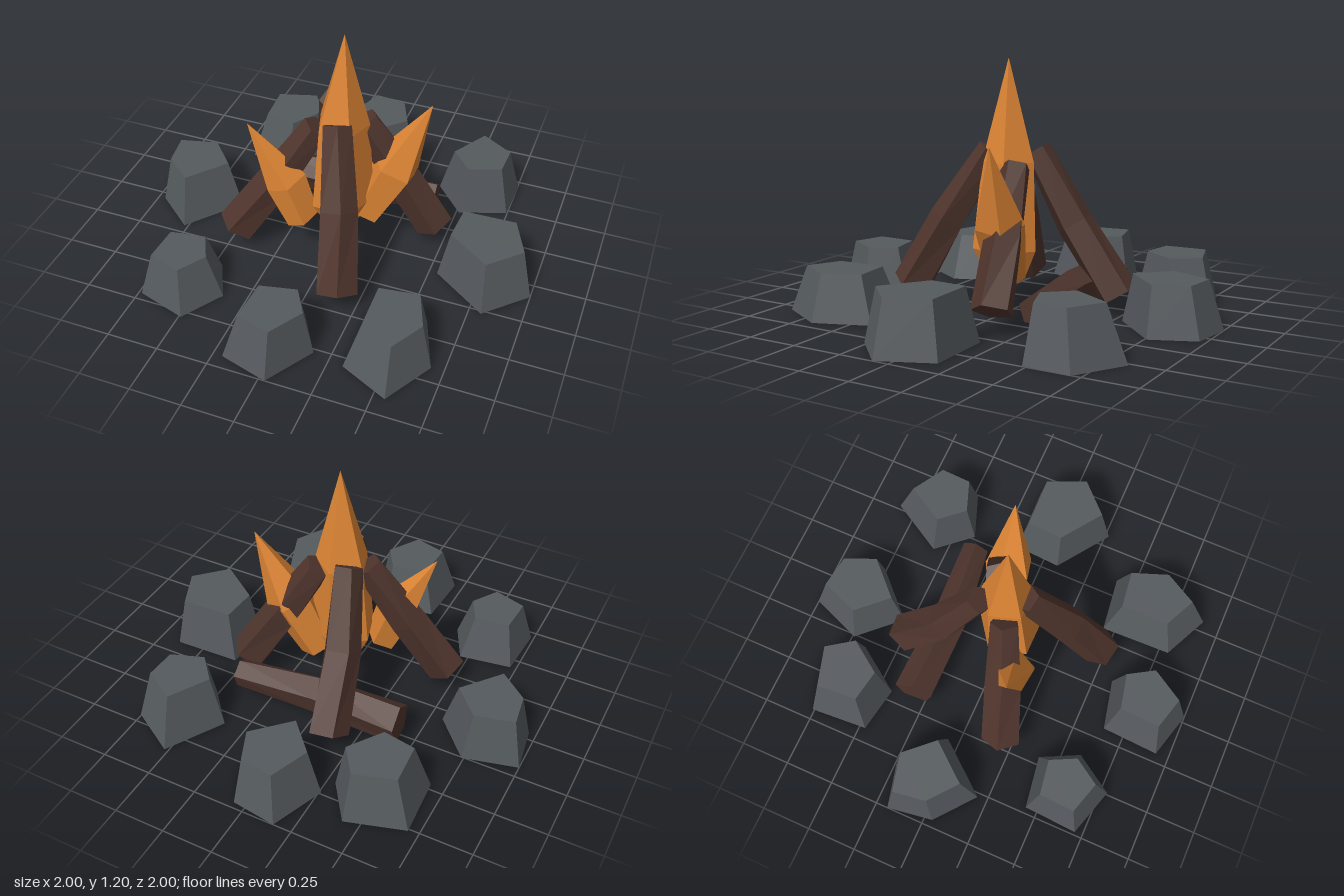
import * as THREE from 'three';

const V = (x, y, z) => new THREE.Vector3(x, y, z);

// Closed faceted solid through rings of points, counter-clockwise about the path
function loft(rings) {
  const pos = [];
  const tri = (...pts) => pts.forEach((p) => pos.push(p.x, p.y, p.z));
  const n = rings[0].length;
  for (let i = 0; i < rings.length - 1; i++) {
    for (let j = 0; j < n; j++) {
      const k = (j + 1) % n;
      const a = rings[i][j], b = rings[i][k], c = rings[i + 1][k], d = rings[i + 1][j];
      tri(a, b, c);
      tri(a, c, d);
    }
  }
  const first = rings[0], last = rings[rings.length - 1];
  for (let j = 1; j < n - 1; j++) {
    tri(first[0], first[j + 1], first[j]);
    tri(last[0], last[j], last[j + 1]);
  }
  const geometry = new THREE.BufferGeometry();
  geometry.setAttribute('position', new THREE.Float32BufferAttribute(pos, 3));
  geometry.computeVertexNormals();
  return geometry;
}

// Regular five-cornered ring facing along dir
function ring(center, radius, dir, phase) {
  const q = new THREE.Quaternion().setFromUnitVectors(V(0, 0, 1), dir);
  return Array.from({ length: 5 }, (_, i) => {
    const a = phase + (i / 5) * Math.PI * 2;
    return V(Math.cos(a) * radius, Math.sin(a) * radius, 0).applyQuaternion(q).add(center);
  });
}

export function createModel() {
  const model = new THREE.Group();
  model.name = 'campfire';
  const material = (name, color) => {
    const m = new THREE.MeshStandardMaterial({ color });
    m.name = name;
    m.flatShading = true;
    return m;
  };
  const stone = material('stone grey', 0x555a5e);
  const bark = material('bark brown', 0x4e342c);
  const fire = material('flame orange', 0xdc8434);
  const add = (name, geometry, mat) => {
    const mesh = new THREE.Mesh(geometry, mat);
    mesh.name = name;
    model.add(mesh);
  };

  // Ring of stones: height, top scale, top offset x and z, then five ground corners (x, z)
  const stones = [
    [0.235, 0.74, 0.01, 0.01, [-0.16, -1, 0.06, -0.97, 0.15, -0.76, -0.07, -0.54, -0.26, -0.74]],
    [0.255, 0.7, 0.015, -0.005, [-0.70, -0.76, -0.42, -0.845, -0.29, -0.66, -0.45, -0.43, -0.68, -0.47]],
    [0.245, 0.72, -0.005, -0.01, [-1, -0.19, -0.74, -0.255, -0.56, -0.06, -0.77, 0.20, -0.965, 0.04]],
    [0.225, 0.66, -0.01, 0, [-0.72, 0.44, -0.46, 0.40, -0.365, 0.59, -0.49, 0.785, -0.735, 0.71]],
    [0.24, 0.7, 0.015, 0, [-0.19, 0.645, 0.06, 0.59, 0.17, 0.77, 0.03, 1, -0.205, 0.935]],
    [0.225, 0.68, 0.01, -0.01, [0.31, 0.44, 0.59, 0.405, 0.69, 0.67, 0.555, 0.91, 0.32, 0.80]],
    [0.255, 0.77, 0, 0, [0.555, -0.16, 0.89, -0.17, 1, 0.08, 0.81, 0.27, 0.54, 0.08]],
    [0.255, 0.69, 0, 0.015, [0.52, -0.845, 0.755, -0.705, 0.745, -0.48, 0.515, -0.395, 0.36, -0.57]],
  ];
  stones.forEach(([h, s, dx, dz, c], i) => {
    const base = [];
    for (let k = 8; k >= 0; k -= 2) base.push(V(c[k], 0, c[k + 1]));
    const mid = base.reduce((sum, p) => sum.add(p), V(0, 0, 0)).divideScalar(5);
    const top = base.map((p) => p.clone().sub(mid).multiplyScalar(s).add(mid).add(V(dx, h, dz)));
    add('stone' + (i + 1), loft([base, top]), stone);
  });

  // Logs: thick end, thin end, bend at the middle, corner phase
  const logs = [
    ['frontLog', V(0.17, 0.10, 0.475), V(0.03, 0.77, 0.10), V(0.01, 0, 0.01), 0.3],
    ['backLog', V(-0.155, 0.10, -0.48), V(-0.06, 0.77, -0.09), V(-0.01, -0.01, 0.02), 0.9],
    ['rightLog', V(0.45, 0.11, -0.155), V(0.10, 0.71, -0.07), V(0, 0, 0), 0.5],
    ['leftLog', V(-0.465, 0.10, 0.195), V(-0.09, 0.70, 0.05), V(0, -0.01, 0), 0.2],
    ['lyingLog', V(-0.44, 0.13, -0.30), V(0.405, 0.13, -0.335), V(0.01, 0, 0.02), 0.3],
  ];
  logs.forEach(([name, from, to, bend, phase]) => {
    const dir = to.clone().sub(from).normalize();
    const mid = from.clone().lerp(to, 0.5).add(bend);
    add(name, loft([
      ring(from, 0.1, dir, phase),
      ring(mid, 0.092, dir, phase + 0.12),
      ring(to, 0.07, dir, phase),
    ]), bark);
  });

  // Flames: corner phase, then [x, y, z, radius] from the base to the pointed tip
  const flames = [
    ['middleFlame', 0.3, [[0.02, 0.16, 0.02, 0.09], [0.02, 0.3, 0.03, 0.16],
      [0.02, 0.72, 0.01, 0.13], [0.03, 1.2, 0.01, 0.001]]],
    ['leftFlame', 0.6, [[-0.135, 0.21, 0.14, 0.085], [-0.215, 0.42, 0.145, 0.105],
      [-0.385, 0.73, 0.185, 0.001]]],
    ['rightFlame', 0.1, [[0.13, 0.19, -0.04, 0.09], [0.26, 0.47, -0.08, 0.12],
      [0.415, 0.83, -0.12, 0.001]]],
  ];
  flames.forEach(([name, phase, path]) => {
    const points = path.map(([x, y, z]) => V(x, y, z));
    const dir = points[points.length - 1].clone().sub(points[0]).normalize();
    add(name, loft(points.map((p, i) => ring(p, path[i][3], dir, phase))), fire);
  });

  return model;
}
